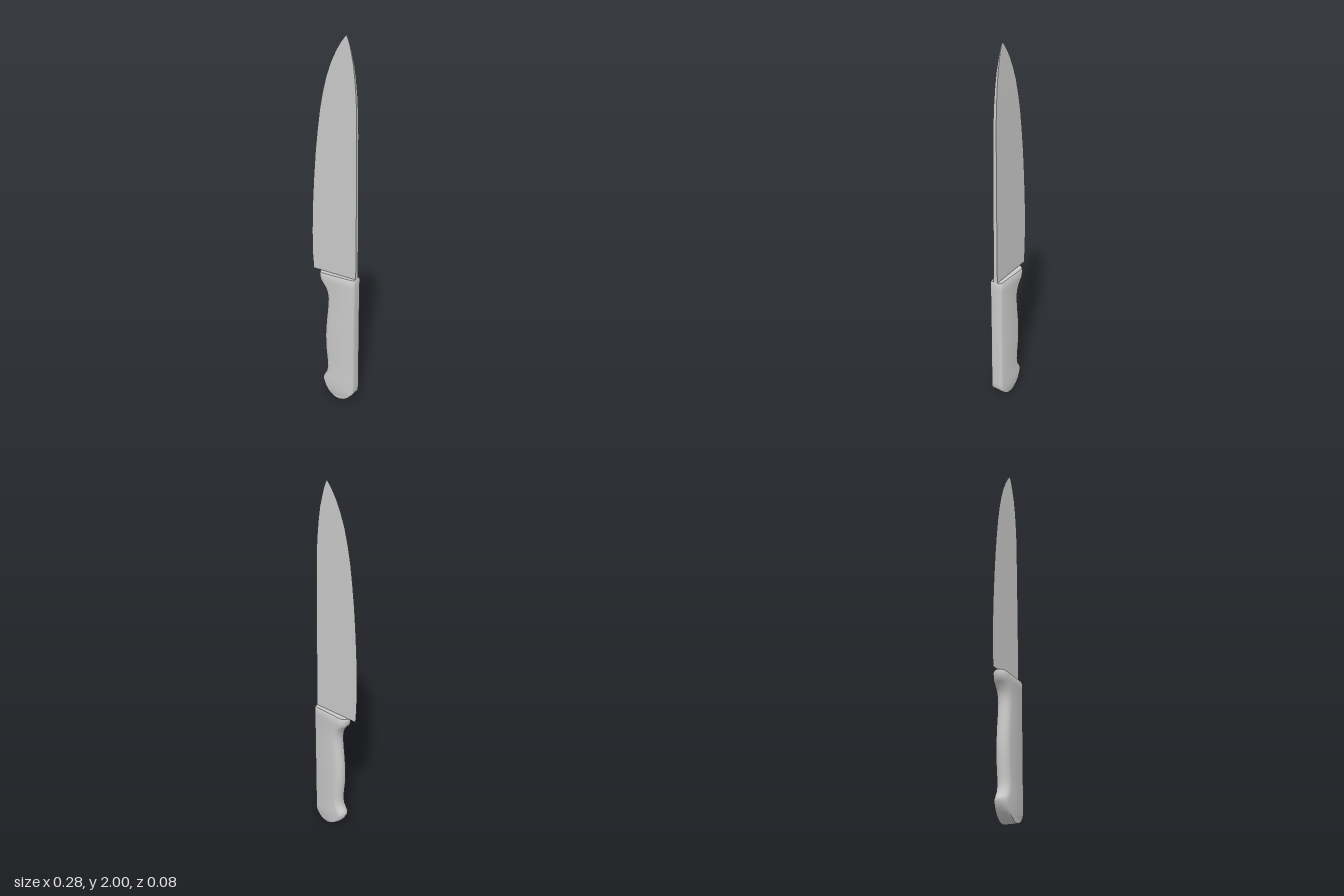
import * as THREE from 'three';
import { toCreasedNormals } from 'three/addons/utils/BufferGeometryUtils.js';

// Skin a stack of rings (bottom to top) and close both ends.
function loft(rings, crease) {
  const n = rings[0].length, pos = [], index = [];
  rings.forEach(r => r.forEach(p => pos.push(...p)));
  for (let j = 0; j < rings.length - 1; j++) {
    for (let i = 0; i < n; i++) {
      const a = j * n + i, b = j * n + (i + 1) % n;
      index.push(a, b, b + n, a, b + n, a + n);
    }
  }
  const top = (rings.length - 1) * n;
  for (let i = 1; i < n - 1; i++) {
    index.push(0, i + 1, i, top, top + i, top + i + 1);
  }
  const g = new THREE.BufferGeometry();
  g.setAttribute('position', new THREE.Float32BufferAttribute(pos, 3));
  g.setIndex(index);
  return toCreasedNormals(g, crease);
}

// Wedge section: sharp edge at -x, flat spine at +x.
const bladeRing = ([y, edge, spine, half]) =>
  [[edge, y, 0], [spine, y, half], [spine, y, -half]];

// Handle section: elliptical belly at -x, flat sides, small rounded back corners.
function handleRing([y, xl, xr, belly, back, half = 0.038]) {
  const side = [], steps = 5;
  for (let i = 0; i <= steps; i++) {
    const t = i / steps * Math.PI / 2;
    side.push([xl + belly * (1 - Math.cos(t)), y, half * Math.sin(t)]);
  }
  for (let i = 0; i <= steps; i++) {
    const t = i / steps * Math.PI / 2;
    side.push([xr - back * (1 - Math.sin(t)), y, half - back * (1 - Math.cos(t))]);
  }
  const mirrored = side.slice(1).reverse().map(([x, yy, z]) => [x, yy, -z]);
  return [...side, ...mirrored];
}

export function createModel() {
  const group = new THREE.Group();
  const material = new THREE.MeshStandardMaterial({ color: 0xcccccc });
  const add = (name, geometry) => {
    const mesh = new THREE.Mesh(geometry, material);
    mesh.name = name;
    group.add(mesh);
  };

  // Blade rows: height, cutting edge x, spine x, spine half thickness
  add('blade', loft([
    [0.742, -0.136, 0.137, 0.012],
    [0.82, -0.142, 0.137, 0.012],
    [0.95, -0.144, 0.136, 0.0115],
    [1.1, -0.14, 0.136, 0.011],
    [1.25, -0.131, 0.135, 0.0105],
    [1.4, -0.119, 0.134, 0.01],
    [1.52, -0.105, 0.133, 0.0095],
    [1.62, -0.091, 0.131, 0.009],
    [1.71, -0.073, 0.126, 0.008],
    [1.79, -0.052, 0.118, 0.007],
    [1.86, -0.026, 0.108, 0.0055],
    [1.92, 0.004, 0.094, 0.0035],
    [1.96, 0.03, 0.083, 0.002],
    [1.985, 0.05, 0.073, 0.001],
    [2, 0.065, 0.065, 0],
  ].map(bladeRing), 0.5));

  // Handle rows: height, belly x, back x, belly rounding, back corner radius, half depth
  add('handle', loft([
    [0, 0.035, 0.065, 0.002, 0.002],
    [0.006, 0.012, 0.085, 0.006, 0.003],
    [0.018, -0.015, 0.105, 0.014, 0.006],
    [0.035, -0.038, 0.123, 0.022, 0.01],
    [0.053, -0.053, 0.137, 0.028, 0.016],
    [0.08, -0.067, 0.139, 0.034, 0.018],
    [0.097, -0.07, 0.139, 0.036, 0.018],
    [0.115, -0.06, 0.139, 0.036, 0.018],
    [0.14, -0.046, 0.139, 0.036, 0.018],
    [0.175, -0.04, 0.139, 0.036, 0.018],
    [0.22, -0.043, 0.139, 0.036, 0.018],
    [0.29, -0.051, 0.139, 0.036, 0.018],
    [0.37, -0.053, 0.139, 0.036, 0.018],
    [0.45, -0.048, 0.139, 0.036, 0.018],
    [0.53, -0.039, 0.139, 0.036, 0.018],
    [0.59, -0.035, 0.139, 0.036, 0.018],
    [0.63, -0.04, 0.14, 0.036, 0.018],
    [0.66, -0.053, 0.14, 0.036, 0.018],
    [0.685, -0.073, 0.14, 0.038, 0.018],
    [0.7, -0.086, 0.14, 0.04, 0.018],
    [0.733, -0.09, 0.14, 0.04, 0.018],
    [0.743, -0.088, 0.137, 0.04, 0.018, 0.033],
  ].map(handleRing), 0.7));

  return group;
}
